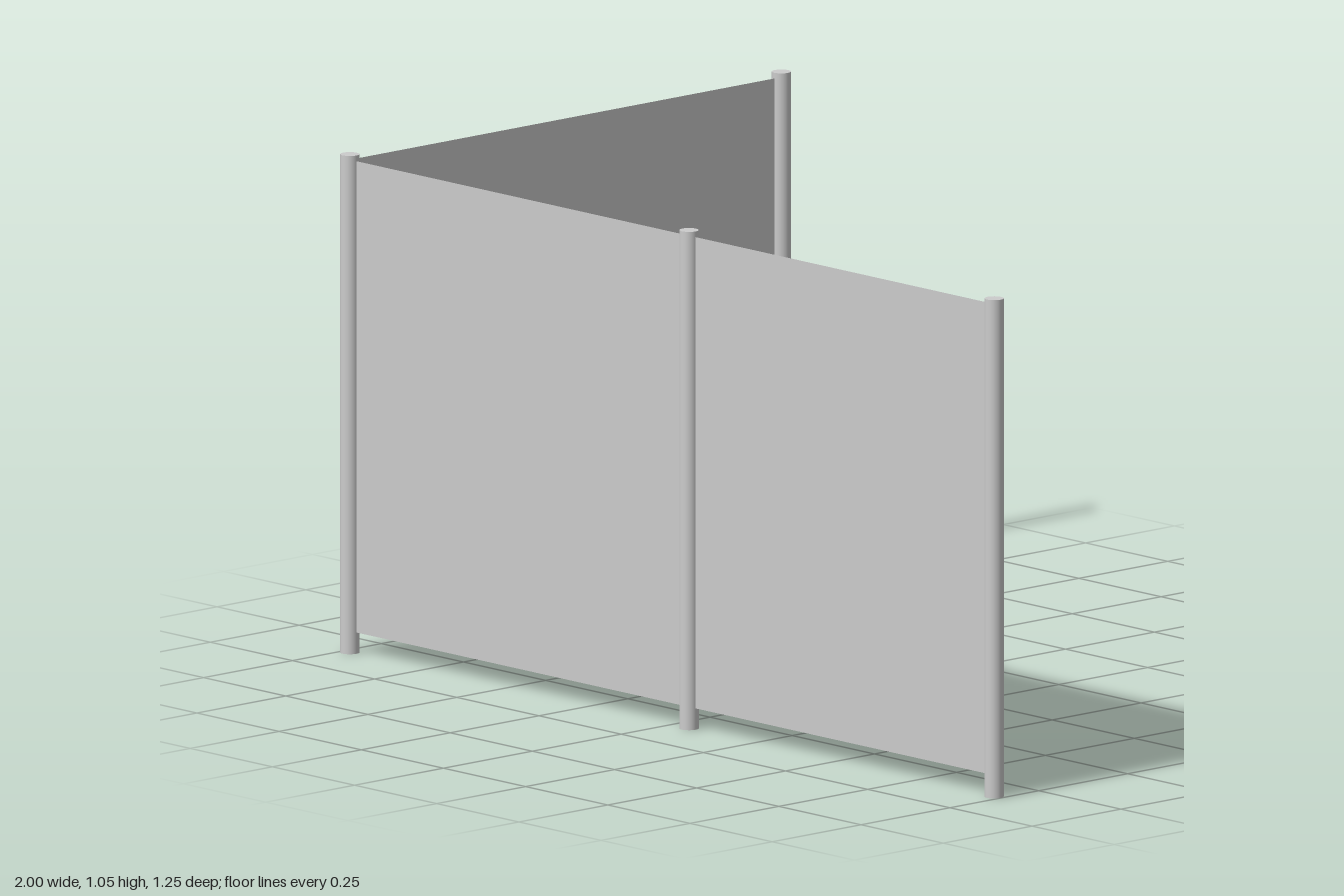
import * as THREE from 'three';

const POST_HEIGHT = 1.052, POST_RADIUS = 0.02;
const PANEL_BOTTOM = 0.045, PANEL_TOP = 1.04;

export function createModel() {
  const group = new THREE.Group();
  const postMaterial = new THREE.MeshStandardMaterial({ color: 0xcccccc });
  const panelMaterial = new THREE.MeshStandardMaterial({ color: 0xcccccc, side: THREE.DoubleSide });

  // Post positions [x, z] in order along the L-shaped run
  const posts = [[-0.98, -0.607], [-0.98, 0.607], [0.052, 0.607], [0.98, 0.607]];

  // Round posts
  const postGeometry = new THREE.CylinderGeometry(POST_RADIUS, POST_RADIUS, POST_HEIGHT, 24);
  posts.forEach(([x, z], i) => {
    const post = new THREE.Mesh(postGeometry, postMaterial);
    post.name = `post${i + 1}`;
    post.position.set(x, POST_HEIGHT / 2, z);
    group.add(post);
  });

  // Thin sheets stretched between neighbouring posts
  for (let i = 0; i < posts.length - 1; i++) {
    const [x0, z0] = posts[i], [x1, z1] = posts[i + 1];
    const length = Math.hypot(x1 - x0, z1 - z0);
    const panel = new THREE.Mesh(new THREE.PlaneGeometry(length, PANEL_TOP - PANEL_BOTTOM), panelMaterial);
    panel.name = `panel${i + 1}`;
    panel.position.set((x0 + x1) / 2, (PANEL_TOP + PANEL_BOTTOM) / 2, (z0 + z1) / 2);
    panel.rotation.y = -Math.atan2(z1 - z0, x1 - x0);
    group.add(panel);
  }
  return group;
}
